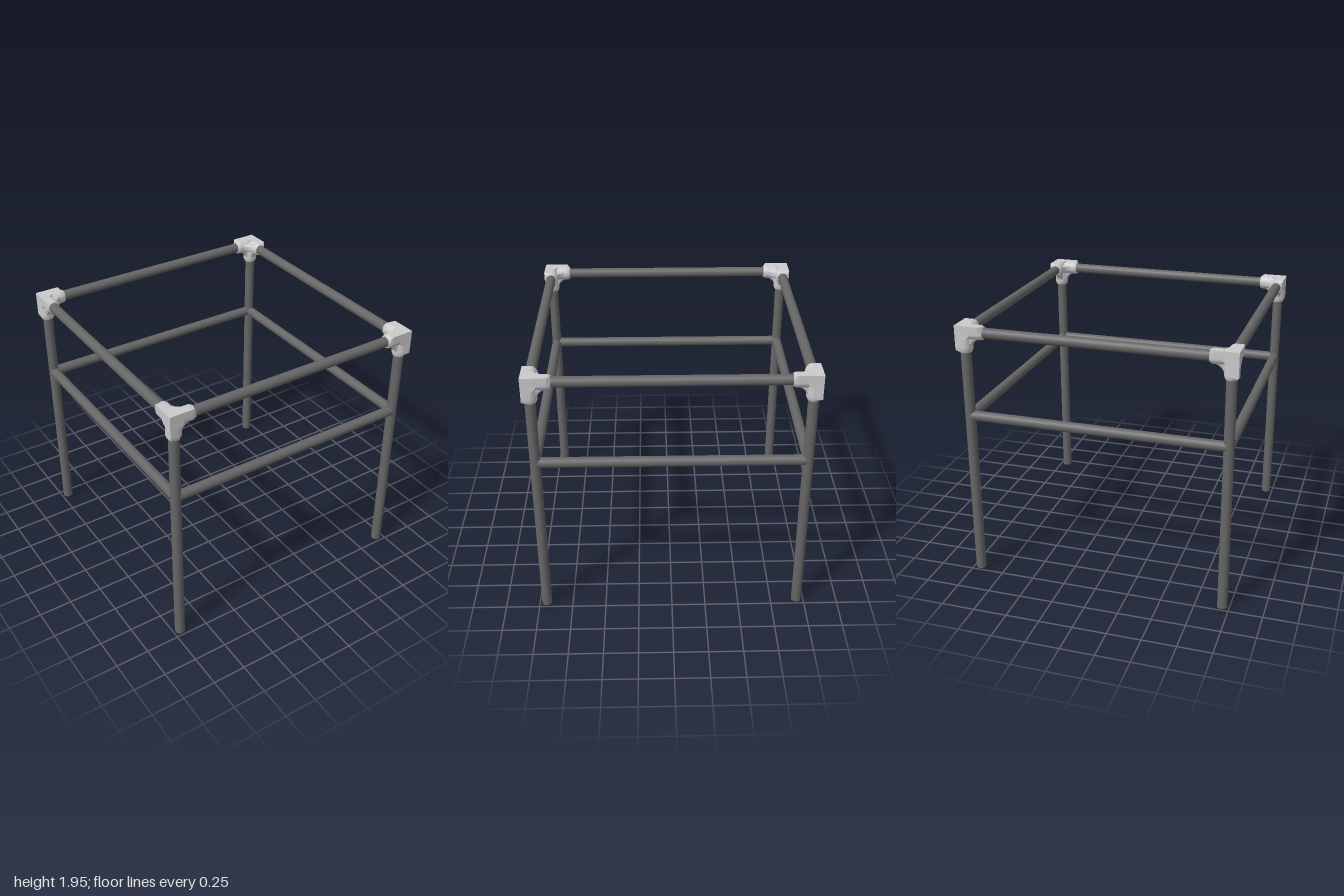
import * as THREE from 'three';
import { toCreasedNormals } from 'three/addons/utils/BufferGeometryUtils.js';

const C = 0.947;        // pipe axis distance from the centre
const TOP = 1.898;      // top rail axis height
const MID = 1.265;      // lower rail axis height
const PIPE = 0.0375;    // pipe radius
const R = 0.053;        // socket radius

const pipeMat = new THREE.MeshStandardMaterial({ color: 0x666666 });
const jointMat = new THREE.MeshStandardMaterial({ color: 0xcccccc });

function pipe(name, length) {
  const mesh = new THREE.Mesh(new THREE.CylinderGeometry(PIPE, PIPE, length, 24), pipeMat);
  mesh.name = name;
  return mesh;
}

// Socket running along -z: round inside, square on the outer corner, tapered mouth
function socketGeometry() {
  const s = new THREE.Shape();
  s.moveTo(R, R);
  s.lineTo(0, R);
  s.absarc(0, 0, R, Math.PI / 2, Math.PI * 2, false);
  s.lineTo(R, R);
  const geo = new THREE.ExtrudeGeometry(s, { depth: 0.2, steps: 10, bevelEnabled: false, curveSegments: 20 });
  geo.translate(0, 0, R - 0.2);
  const p = geo.attributes.position;
  for (let i = 0; i < p.count; i++) {
    if (p.getZ(i) < R - 0.199) {
      const x = p.getX(i), y = p.getY(i);
      const k = Math.min(0.84, 0.045 / Math.hypot(x, y));
      p.setXY(i, x * k, y * k);
    }
  }
  return toCreasedNormals(geo, 0.6);
}

// Curved web filling the inner angle between two sockets, in the xy plane
function webGeometry() {
  const s = new THREE.Shape();
  s.moveTo(0, 0);
  s.lineTo(-0.112, 0);
  s.lineTo(-0.112, -R + 0.004);
  s.quadraticCurveTo(-R - 0.008, -R - 0.008, -R + 0.004, -0.112);
  s.lineTo(0, -0.112);
  s.closePath();
  const b = 0.014;
  const geo = new THREE.ExtrudeGeometry(s, {
    depth: 0.03, bevelThickness: b, bevelSize: b, bevelOffset: -b, bevelSegments: 3, curveSegments: 8
  });
  geo.translate(0, 0, -0.015);
  return toCreasedNormals(geo, 0.6);
}

// Three-way corner fitting, the same part turned about its diagonal three times
function cornerFitting(socket, web) {
  const group = new THREE.Group();
  group.name = 'cornerFitting';
  const diagonal = new THREE.Vector3(1, 1, 1).normalize();
  for (let i = 0; i < 3; i++) {
    for (const [name, geo] of [['socket', socket], ['web', web]]) {
      const mesh = new THREE.Mesh(geo, jointMat);
      mesh.name = name;
      mesh.quaternion.setFromAxisAngle(diagonal, i * Math.PI * 2 / 3);
      group.add(mesh);
    }
  }
  group.position.set(C, TOP, C);
  return group;
}

export function createModel() {
  const model = new THREE.Group();
  model.name = 'pipeFrame';
  const socket = socketGeometry();
  const web = webGeometry();

  // One leg, corner fitting and pair of rails per side
  for (let i = 0; i < 4; i++) {
    const side = new THREE.Group();
    side.name = 'frameSide';
    side.rotation.y = i * Math.PI / 2;

    const leg = pipe('leg', TOP);
    leg.position.set(C, TOP / 2, C);

    const topRail = pipe('topRail', 1.74);
    topRail.rotation.z = Math.PI / 2;
    topRail.position.set(0, TOP, C);

    const lowerRail = pipe('lowerRail', 2 * C);
    lowerRail.rotation.z = Math.PI / 2;
    lowerRail.position.set(0, MID, C);

    side.add(leg, topRail, lowerRail, cornerFitting(socket, web));
    model.add(side);
  }
  return model;
}
